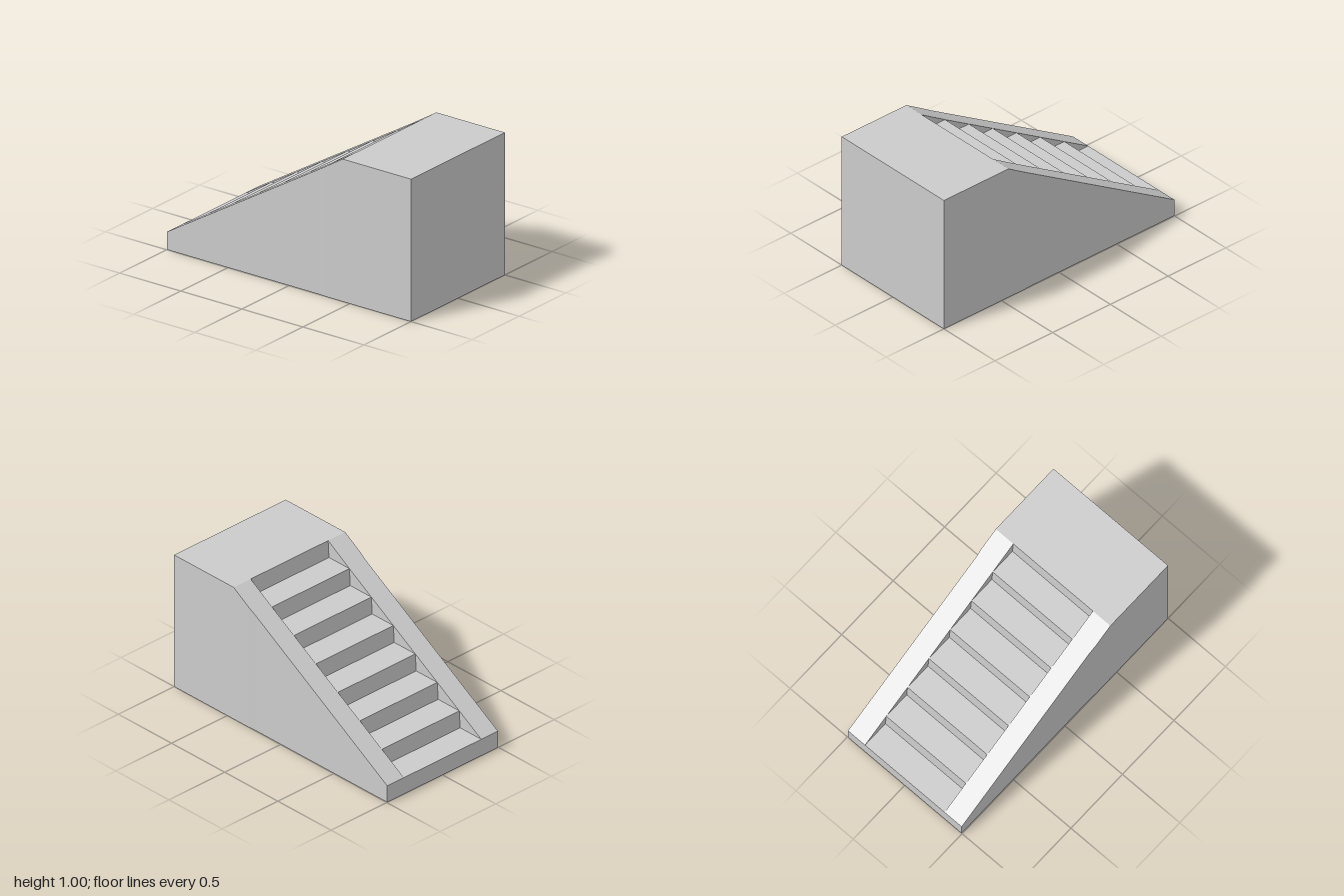
import * as THREE from 'three';

const material = new THREE.MeshStandardMaterial({ color: 0xcccccc, flatShading: true, side: THREE.DoubleSide });

// Mesh made of flat convex panels, each a list of [x, y, z] corners
function panels(name, polygons) {
  const pos = [];
  for (const p of polygons) {
    for (let i = 1; i < p.length - 1; i++) pos.push(...p[0], ...p[i], ...p[i + 1]);
  }
  const geometry = new THREE.BufferGeometry();
  geometry.setAttribute('position', new THREE.Float32BufferAttribute(pos, 3));
  geometry.computeVertexNormals();
  const mesh = new THREE.Mesh(geometry, material);
  mesh.name = name;
  return mesh;
}

// Mirrored panels keep their corners facing outward
const sided = (polygon, s) => {
  const p = polygon.map(([x, y, z]) => [x * s, y, z]);
  return s < 0 ? p.reverse() : p;
};

export function createModel() {
  const group = new THREE.Group();
  group.name = 'staircase';

  const W = 0.5, backW = 0.496, stepW = 0.347, rise = 0.125, count = 7;
  const topZ = 0.44, kinkZ = 0.24, batter = 0.008;

  // Step nosings rise from the back edge to the landing
  const nosing = [];
  for (let k = 0; k < count; k++) nosing.push([-1 + (kinkZ + 1) * k / (count - 1), rise * (k + 1)]);
  nosing.push([topZ, 1]);

  // Stations along the side: z, top height, half width
  const stations = [
    [-1, rise, backW], [kinkZ, rise * count, backW], [0.3, 0.9125, W], [topZ, 1, W], [1, 1, W],
  ];

  for (const s of [1, -1]) {
    const side = s > 0 ? 'left' : 'right';
    const wall = [], slope = [], cheek = [];
    for (let i = 0; i < stations.length - 1; i++) {
      const [z0, y0, w0] = stations[i], [z1, y1, w1] = stations[i + 1];
      wall.push(sided([[w0, 0, z0], [w0, y0, z0], [w1, y1, z1], [w1, 0, z1]], s));
      if (z1 <= topZ) slope.push(sided([[stepW, y0, z0], [stepW, y1, z1], [w1, y1, z1], [w0, y0, z0]], s));
    }
    // Triangles between the sloping border and each step
    for (let k = 0; k < count; k++) {
      const [z0, y0] = nosing[k], [z1, y1] = nosing[k + 1];
      cheek.push(sided([[stepW, y0, z0], [stepW, y0, z1 - batter], [stepW, y1, z1]], s));
    }
    group.add(panels(side + 'Wall', wall), panels(side + 'Border', slope), panels(side + 'Cheeks', cheek));
  }

  // Treads and risers
  for (let k = 0; k < count; k++) {
    const [z0, y0] = nosing[k], [z1, y1] = nosing[k + 1], foot = z1 - batter;
    group.add(panels('step' + (k + 1), [
      [[-stepW, y0, z0], [-stepW, y0, foot], [stepW, y0, foot], [stepW, y0, z0]],
      [[-stepW, y0, foot], [-stepW, y1, z1], [stepW, y1, z1], [stepW, y0, foot]],
    ]));
  }

  // Landing, tall front wall and low back riser; the underside is open
  group.add(panels('landing', [[[-W, 1, topZ], [-W, 1, 1], [W, 1, 1], [W, 1, topZ]]]));
  group.add(panels('frontWall', [[[-W, 0, 1], [W, 0, 1], [W, 1, 1], [-W, 1, 1]]]));
  group.add(panels('bottomRiser', [[[-backW, 0, -1], [-backW, rise, -1], [backW, rise, -1], [backW, 0, -1]]]));
  return group;
}
